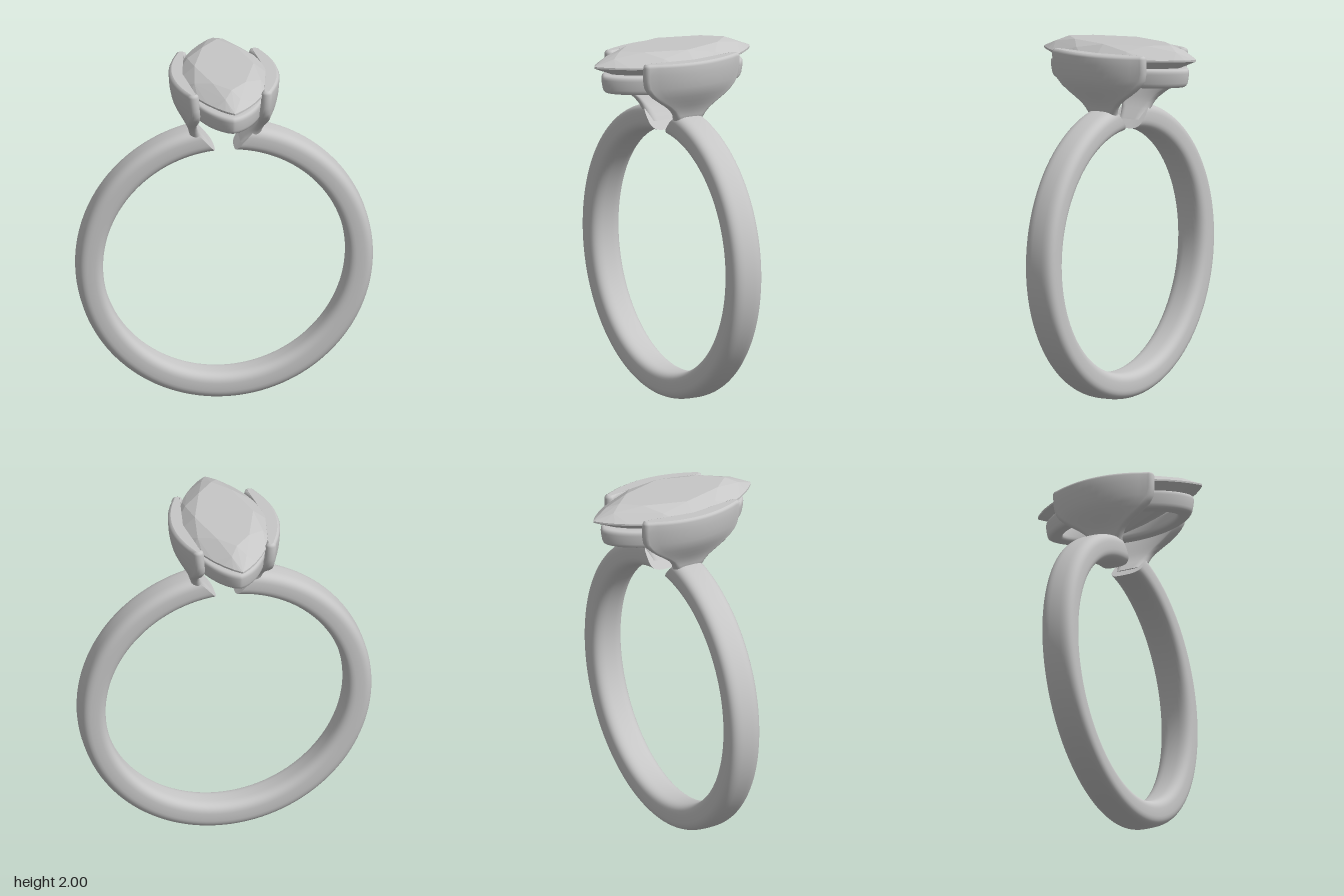
import * as THREE from 'three';
import { ConvexGeometry } from 'three/addons/geometries/ConvexGeometry.js';

const spow = (v, e) => Math.sign(v) * Math.pow(Math.abs(v), e);

// Skin a list of equal-length point loops; either join the last to the first or cap both ends.
function loft(rings, closed) {
  const n = rings[0].length, m = rings.length;
  const pos = rings.flat(2);
  const index = [];
  for (let i = 0; i < (closed ? m : m - 1); i++) {
    for (let j = 0; j < n; j++) {
      const a = i * n + j, b = i * n + (j + 1) % n;
      const c = ((i + 1) % m) * n + j, d = ((i + 1) % m) * n + (j + 1) % n;
      index.push(a, b, d, a, d, c);
    }
  }
  if (!closed) {
    for (const [ring, last] of [[rings[0], false], [rings[m - 1], true]]) {
      const base = pos.length / 3;
      pos.push(...ring.flat());
      pos.push(...[0, 1, 2].map((k) => ring.reduce((s, p) => s + p[k], 0) / n));
      for (let j = 0; j < n; j++) {
        const a = base + j, b = base + (j + 1) % n;
        index.push(base + n, last ? a : b, last ? b : a);
      }
    }
  }
  // Turn the faces outward if the enclosed volume comes out negative
  let volume = 0;
  const P = (i) => new THREE.Vector3().fromArray(pos, i * 3);
  for (let i = 0; i < index.length; i += 3) {
    volume += P(index[i]).dot(P(index[i + 1]).cross(P(index[i + 2])));
  }
  if (volume < 0) index.reverse();
  const g = new THREE.BufferGeometry();
  g.setAttribute('position', new THREE.Float32BufferAttribute(pos, 3));
  g.setIndex(index);
  g.computeVertexNormals();
  return g;
}

// Point on a marquise outline, long axis along z
function marquise(t, a, b, e) {
  return [a * spow(Math.sin(t), e), b * Math.cos(t)];
}

// Finger band: rounded section swept round, with slanted ends beside the top gap
function bandGeometry() {
  const rings = [], steps = 120, sides = 40;
  for (let i = 0; i <= steps; i++) {
    const ring = [];
    for (let j = 0; j < sides; j++) {
      const u = (j / sides) * Math.PI * 2;
      const r = 0.7515 + 0.0745 * spow(Math.sin(u), 0.65);
      const z = 0.095 * spow(Math.cos(u), 0.6);
      const end = THREE.MathUtils.mapLinear(r, 0.677, 0.826, 0.08, 0.21);
      const t = end + (i / steps) * (Math.PI * 2 - 2 * end);
      ring.push([r * Math.sin(t), 0.828 + r * Math.cos(t), z]);
    }
    rings.push(ring);
  }
  return loft(rings, false);
}

// Stadium outline of half-length w and half-thickness h, as [z, offset] pairs
function stadium(w, h) {
  const pts = [], L = Math.max(w - h, 0.001);
  for (const s of [1, -1]) {
    for (let i = 0; i <= 10; i++) {
      const a = -Math.PI / 2 + (i / 10) * Math.PI;
      pts.push([s * (L + h * Math.cos(a)), s * h * Math.sin(a)]);
    }
    for (let i = 1; i < 14; i++) pts.push([s * L * (1 - i / 7), s * h]);
  }
  return pts;
}

// Shoulder: curved plate flaring upward from the band end
function shoulderGeometry() {
  // height, inner x, outer x, half width, bow
  const rows = [
    [1.55, 0.085, 0.15, 0.075, 0],
    [1.58, 0.107, 0.18, 0.084, 0],
    [1.61, 0.13, 0.199, 0.09, 0],
    [1.64, 0.151, 0.205, 0.103, 0.1],
    [1.67, 0.166, 0.216, 0.125, 0.3],
    [1.70, 0.178, 0.232, 0.162, 0.5],
    [1.73, 0.19, 0.25, 0.207, 0.7],
    [1.76, 0.202, 0.267, 0.248, 0.8],
    [1.79, 0.215, 0.282, 0.278, 0.87],
    [1.82, 0.228, 0.291, 0.297, 0.9],
    [1.86, 0.237, 0.299, 0.306, 0.9],
    [1.90, 0.242, 0.303, 0.308, 0.9],
    [1.94, 0.244, 0.305, 0.308, 0.9],
    [1.952, 0.249, 0.300, 0.303, 0.9],
    [1.958, 0.26, 0.289, 0.292, 0.9],
  ];
  return loft(rows.map(([y, xi, xo, w, bow]) =>
    stadium(w, (xo - xi) / 2).map(([z, d]) => {
      const zc = Math.min(Math.abs(z), w - (xo - xi) / 2);
      return [(xi + xo) / 2 - bow * zc * zc + d, y, z];
    })), false);
}

// Gallery: rounded marquise rail beneath the stone
function galleryGeometry() {
  const rings = [], steps = 96, sides = 24;
  for (let i = 0; i < steps; i++) {
    const t = (i / steps) * Math.PI * 2, ring = [];
    for (let j = 0; j < sides; j++) {
      const u = (j / sides) * Math.PI * 2;
      const rise = spow(Math.sin(u), 0.55);
      const d = 0.034 * (1 - spow(Math.cos(u), 0.55)) + 0.006 * (1 - rise);
      const [x, z] = marquise(t, 0.228 - d, 0.456 - d * 1.4, 1.3);
      ring.push([x, 1.824 + 0.054 * rise, z]);
    }
    rings.push(ring);
  }
  return loft(rings, true);
}

// Stone: faceted marquise with table, crown, thin girdle and pointed pavilion
function stoneGeometry() {
  const pts = [new THREE.Vector3(0, 1.722, 0)];
  const level = (count, shift, scale, y) => {
    for (let i = 0; i < count; i++) {
      const t = ((i + shift) / count) * Math.PI * 2;
      const [x, z] = marquise(t, 0.246 * scale, 0.505 * scale, 1.7);
      pts.push(new THREE.Vector3(x, y, z));
    }
  };
  level(8, 0, 0.67, 2.0);
  level(8, 0.5, 0.86, 1.972);
  level(32, 0, 1, 1.932);
  level(32, 0, 1, 1.922);
  level(8, 0.5, 0.5, 1.812);
  return new ConvexGeometry(pts);
}

export function createModel() {
  const model = new THREE.Group();
  model.name = 'ring';
  const metal = new THREE.MeshStandardMaterial({ color: 0xc6c6c6 });
  metal.name = 'pale grey';

  const add = (name, geometry) => {
    const mesh = new THREE.Mesh(geometry, metal);
    mesh.name = name;
    model.add(mesh);
    return mesh;
  };

  add('band', bandGeometry());
  const shoulder = shoulderGeometry();
  add('leftShoulder', shoulder);
  add('rightShoulder', shoulder).rotation.y = Math.PI;
  add('gallery', galleryGeometry());
  add('stone', stoneGeometry());
  return model;
}
